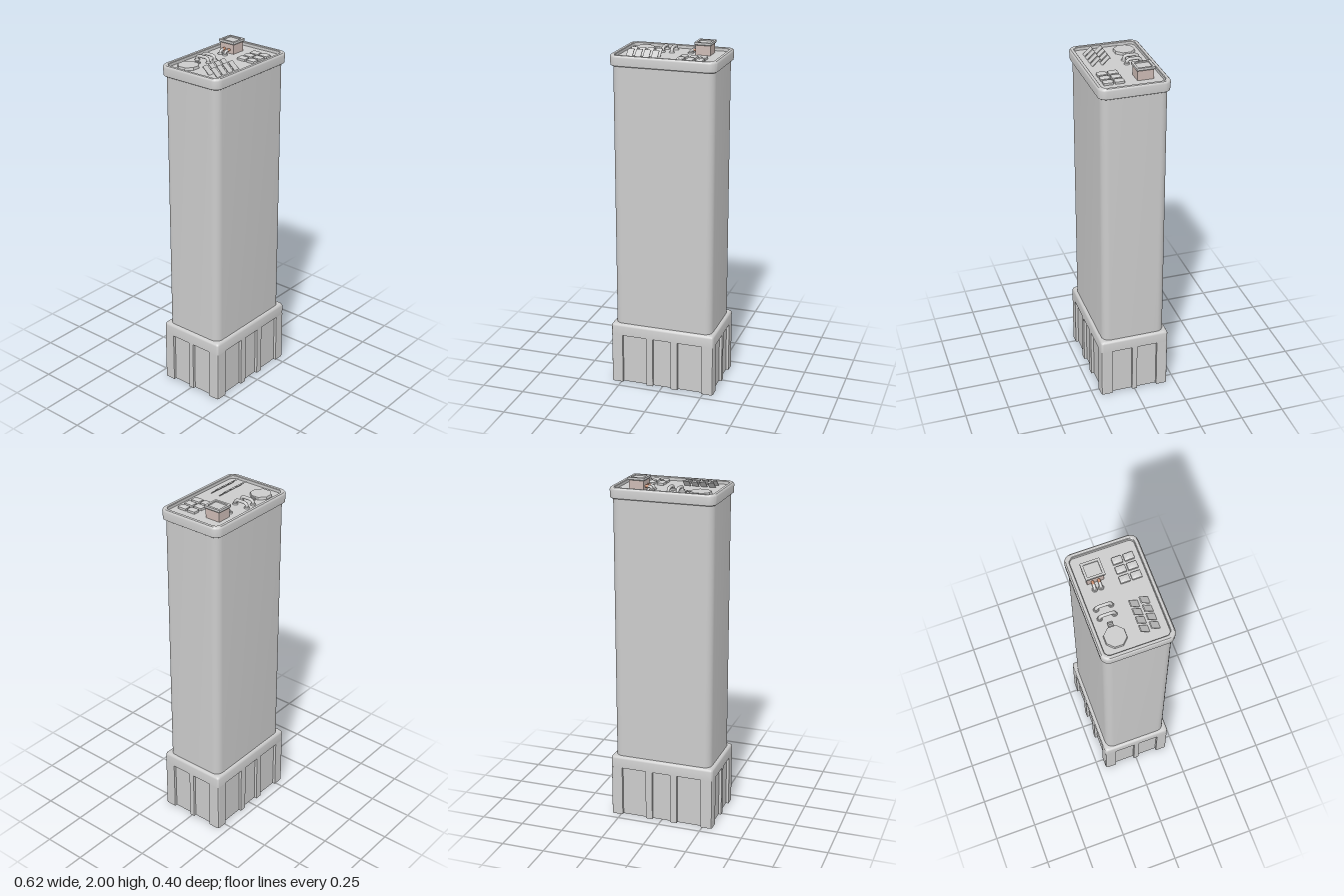
import * as THREE from 'three';
import { toCreasedNormals, mergeVertices } from 'three/addons/utils/BufferGeometryUtils.js';

const grey = new THREE.MeshStandardMaterial({ color: 0xcccccc });
const blush = new THREE.MeshStandardMaterial({ color: 0xccbab4 });
const copper = new THREE.MeshStandardMaterial({ color: 0xcc8f70 });
const FLOOR = 1.93; // sunken floor of the top tray

// Closed solid through rounded rectangles [y, halfX, halfZ, cornerRadius]
function loft(rings, steps = 6) {
  const pos = [], idx = [], n = 4 * (steps + 1);
  for (const [y, hx, hz, r] of rings) {
    for (let c = 0; c < 4; c++) {
      const sx = c === 0 || c === 3 ? 1 : -1, sz = c < 2 ? 1 : -1;
      for (let s = 0; s <= steps; s++) {
        const a = (c + s / steps) * Math.PI / 2;
        pos.push(sx * (hx - r) + r * Math.cos(a), y, sz * (hz - r) + r * Math.sin(a));
      }
    }
  }
  for (let i = 0; i < rings.length - 1; i++) {
    for (let j = 0; j < n; j++) {
      const a = i * n + j, b = i * n + (j + 1) % n;
      idx.push(a, a + n, b, b, a + n, b + n);
    }
  }
  // end caps
  const top = (rings.length - 1) * n;
  for (let j = 1; j < n - 1; j++) {
    idx.push(0, j, j + 1, top, top + j + 1, top + j);
  }
  const g = new THREE.BufferGeometry();
  g.setAttribute('position', new THREE.Float32BufferAttribute(pos, 3));
  g.setIndex(idx);
  return toCreasedNormals(mergeVertices(g), 0.6);
}

export function createModel() {
  const model = new THREE.Group();
  model.name = 'tower';
  function add(name, geometry, x = 0, y = 0, z = 0, material = grey) {
    const m = new THREE.Mesh(geometry, material);
    m.name = name;
    m.position.set(x, y, z);
    model.add(m);
    return m;
  }
  const box = (w, h, d) => new THREE.BoxGeometry(w, h, d);

  // Base: notched plan for the panels, with a solid collar on top
  const X = 0.308, Z = 0.202, D = 0.016;
  const cutsX = [[-0.24, -0.095], [-0.055, 0.055], [0.095, 0.24]];
  const cutsZ = [[-0.135, -0.015], [0.015, 0.135]];
  const plan = new THREE.Shape();
  const c = 0.012;
  plan.moveTo(-X + c, -Z);
  for (let side = 0; side < 4; side++) {
    const alongX = side % 2 === 0, sign = side < 2 ? 1 : -1;
    const half = alongX ? X : Z, off = alongX ? Z : X;
    const put = (t, d) => alongX
      ? plan.lineTo(sign * t, -sign * (off - d))
      : plan.lineTo(sign * (off - d), sign * t);
    put(-half + c, 0);
    for (const [a, b] of alongX ? cutsX : cutsZ) {
      put(a, 0); put(a, D); put(b, D); put(b, 0);
    }
    put(half - c, 0);
    put(half - c * 0.3, c * 0.3);
  }
  plan.closePath();
  const ribbed = new THREE.ExtrudeGeometry(plan, { depth: 0.3, bevelEnabled: false });
  ribbed.rotateX(-Math.PI / 2);
  add('ribbedBase', ribbed);
  add('baseCollar', loft([
    [0.3, X, Z, 0.014], [0.355, X, Z, 0.014], [0.363, X - 0.002, Z - 0.002, 0.016],
    [0.369, X - 0.007, Z - 0.007, 0.018], [0.371, X - 0.014, Z - 0.014, 0.02]]));

  // Tall shaft
  add('shaft', loft([[0.36, 0.289, 0.184, 0.045], [1.9, 0.289, 0.184, 0.045]], 8));

  // Rim with rounded lip and sunken tray
  add('topRim', loft([
    [1.888, 0.295, 0.19, 0.04], [1.892, 0.301, 0.196, 0.045], [1.936, 0.303, 0.198, 0.045],
    [1.944, 0.301, 0.196, 0.045], [1.949, 0.296, 0.191, 0.042], [1.95, 0.289, 0.184, 0.038],
    [1.949, 0.281, 0.176, 0.03], [1.946, 0.278, 0.173, 0.028], [FLOOR, 0.278, 0.173, 0.028]], 8));

  // Octagonal hatch with ribbed hinge
  const hatch = new THREE.CylinderGeometry(0.058, 0.061, 0.014, 8);
  hatch.rotateY(Math.PI / 8);
  add('hatch', toCreasedNormals(hatch, 0.3), -0.192, FLOOR + 0.007, -0.092);
  add('hingePlate', box(0.03, 0.005, 0.022), -0.121, FLOOR + 0.0025, -0.092);
  for (let i = 0; i < 3; i++) {
    add('hingeRib', box(0.006, 0.01, 0.027), -0.13 + i * 0.0095, FLOOR + 0.005, -0.092);
  }

  // Pair of handles on collars
  const collar = new THREE.CylinderGeometry(0.013, 0.015, 0.008, 16);
  for (const x of [-0.074, -0.022]) {
    const path = new THREE.CatmullRomCurve3([
      [0, -0.131], [0.016, -0.13], [0.025, -0.118], [0.026, -0.092],
      [0.025, -0.066], [0.016, -0.054], [0, -0.053]
    ].map(([y, z]) => new THREE.Vector3(x, FLOOR + y, z)));
    add('handle', new THREE.TubeGeometry(path, 28, 0.009, 10));
    for (const z of [-0.131, -0.053]) add('handleCollar', collar, x, FLOOR + 0.004, z);
  }

  // Raised box with brimmed, dished lid
  const bx = 0.161, bz = -0.083;
  add('boxBody', box(0.083, 0.06, 0.09), bx, FLOOR + 0.028, bz, blush);
  add('boxLid', loft([
    [1.984, 0.045, 0.049, 0.002], [1.988, 0.048, 0.052, 0.003], [2, 0.048, 0.052, 0.003],
    [2, 0.035, 0.039, 0.002], [1.993, 0.035, 0.039, 0.002]], 2), bx, 0, bz);

  // Two bent pipes feeding the box
  for (const z of [-0.1, -0.067]) {
    const bend = new THREE.CatmullRomCurve3([
      [0.082, 0], [0.083, 0.01], [0.09, 0.018], [0.102, 0.021]
    ].map(([x, y]) => new THREE.Vector3(x, FLOOR + y, z)));
    add('pipeBend', new THREE.TubeGeometry(bend, 14, 0.008, 10));
    const end = new THREE.CylinderGeometry(0.008, 0.008, 0.026, 10);
    end.rotateZ(Math.PI / 2);
    add('pipeEnd', end, 0.114, FLOOR + 0.021, z, copper);
    add('pipeCollar', collar, 0.082, FLOOR + 0.004, z);
  }

  // Tilted panels, raised at the back, with a small lip
  for (const z of [0.055, 0.11]) {
    for (let i = 0; i < 4; i++) {
      const panel = add('tiltedPanel', box(0.036, 0.004, 0.06), -0.205 + i * 0.0473, 1.948, z);
      panel.rotation.x = 0.72;
      const lip = new THREE.Mesh(box(0.036, 0.007, 0.004), grey);
      lip.name = 'panelLip';
      lip.position.set(0, -0.002, -0.028);
      panel.add(lip);
    }
  }

  // Low blocks with narrowed tops
  const block = loft([[0, 0.019, 0.0265, 0.002], [0.012, 0.019, 0.0265, 0.002],
    [0.017, 0.014, 0.021, 0.005]], 2);
  for (const z of [0.058, 0.12]) {
    for (const x of [0.083, 0.138, 0.192]) add('lowBlock', block, x, FLOOR, z);
  }
  return model;
}
